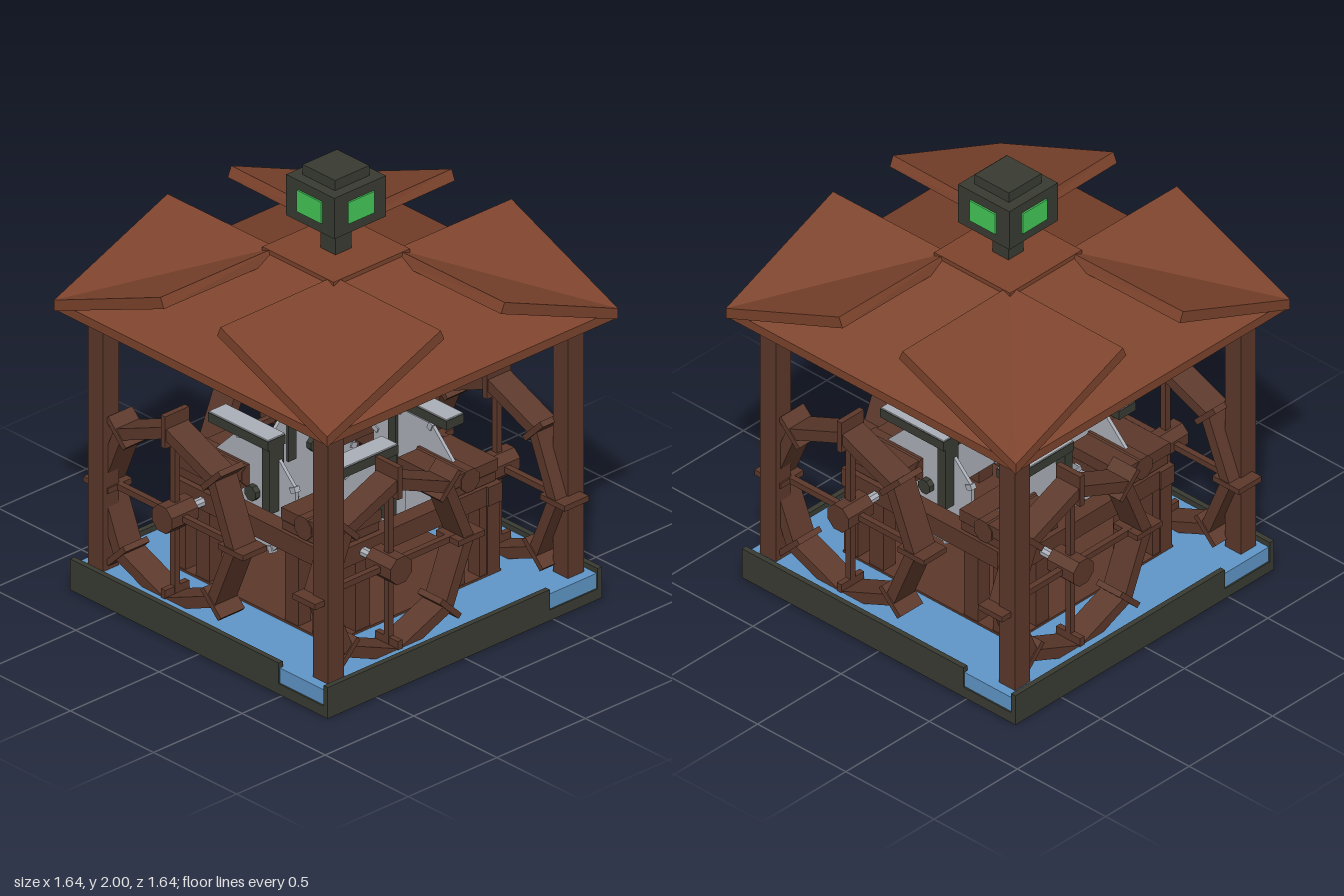
import * as THREE from 'three';

const mat = (name, color, extra = {}) => {
  const m = new THREE.MeshStandardMaterial({ color, flatShading: true, ...extra });
  m.name = name;
  return m;
};

export function createModel() {
  const wood = mat('wood', 0x5d392b);
  const roofMat = mat('roof', 0x7e442d, { side: THREE.DoubleSide });
  const dark = mat('dark stone', 0x393b33);
  const steel = mat('steel', 0xacb0b8);
  const water = mat('water', 0x6097c9);
  const glow = mat('green glass', 0x45c958);
  const model = new THREE.Group();

  const add = (parent, name, geo, m) => {
    const mesh = new THREE.Mesh(geo, m);
    mesh.name = name;
    parent.add(mesh);
    return mesh;
  };
  // Box from its minimum and maximum along each axis
  const box = (parent, name, m, x0, x1, y0, y1, z0, z1) => {
    const mesh = add(parent, name, new THREE.BoxGeometry(x1 - x0, y1 - y0, z1 - z0), m);
    mesh.position.set((x0 + x1) / 2, (y0 + y1) / 2, (z0 + z1) / 2);
    return mesh;
  };
  // Eight-sided rod along x or z
  const rod = (parent, name, m, axis, r, x, y, z, len) => {
    const geo = new THREE.CylinderGeometry(r, r, len, 8);
    geo.rotateY(Math.PI / 8);
    if (axis === 'x') geo.rotateZ(Math.PI / 2); else geo.rotateX(Math.PI / 2);
    const mesh = add(parent, name, geo, m);
    mesh.position.set(x, y, z);
    return mesh;
  };
  const polygon = (Type, r, n, turn = 0) => {
    const s = new Type();
    for (let i = 0; i < n; i++) {
      const a = turn + i / n * Math.PI * 2;
      s[i ? 'lineTo' : 'moveTo'](r * Math.cos(a), r * Math.sin(a));
    }
    s.closePath();
    return s;
  };
  const plate = (shape, depth) => {
    const geo = new THREE.ExtrudeGeometry(shape, { depth, bevelEnabled: false });
    geo.translate(0, 0, -depth / 2);
    return geo;
  };
  // Flat square ring standing between two heights
  const squareRing = (name, m, outer, inner, y0, y1) => {
    const q = Math.PI / 4;
    const s = polygon(THREE.Shape, outer * Math.SQRT2, 4, q);
    s.holes.push(polygon(THREE.Path, inner * Math.SQRT2, 4, q));
    const geo = plate(s, y1 - y0);
    geo.rotateX(-Math.PI / 2);
    add(model, name, geo, m).position.y = (y0 + y1) / 2;
  };

  // Base basin, water and central floor
  squareRing('baseSlab', dark, 0.775, 0.48, 0, 0.05);
  squareRing('waterChannel', water, 0.752, 0.48, 0.05, 0.12);
  box(model, 'centralFloor', wood, -0.48, 0.48, 0.004, 0.13, -0.48, 0.48);

  // Hollow pyramid roof
  const squareTube = (name, top, bottom, y0, y1) => {
    const geo = new THREE.CylinderGeometry(top * Math.SQRT2, bottom * Math.SQRT2, y1 - y0, 4, 1, true);
    geo.rotateY(Math.PI / 4);
    add(model, name, geo, roofMat).position.y = (y0 + y1) / 2;
  };
  squareTube('roofSlopes', 0.2, 0.812, 1.342, 1.6);
  squareTube('roofFascia', 0.812, 0.812, 1.3, 1.342);
  squareRing('eaveSoffit', roofMat, 0.81, 0.63, 1.3, 1.306);
  box(model, 'roofCap', roofMat, -0.215, 0.215, 1.585, 1.614, -0.215, 0.215);

  // Lantern tower
  box(model, 'lanternShaft', dark, -0.045, 0.045, 1.6, 1.77, -0.045, 0.045);
  box(model, 'lanternBox', dark, -0.145, 0.145, 1.763, 1.953, -0.145, 0.145);
  box(model, 'lanternCap', dark, -0.097, 0.097, 1.953, 2, -0.097, 0.097);

  // Folded corner roof panel with raised free corners
  const panelGeometry = () => {
    const p = [
      [0.822, 1.35, 0.822], [0.18, 1.612, 0.822], [0.175, 1.612, 0.175], [0.822, 1.612, 0.18],
      [0.822, 1.3, 0.822], [0.16, 1.565, 0.822], [0.16, 1.56, 0.16], [0.822, 1.565, 0.16],
    ];
    const tris = [[0, 2, 1], [0, 3, 2], [4, 5, 6], [4, 6, 7]];
    for (let i = 0; i < 4; i++) {
      const j = (i + 1) % 4;
      tris.push([i, j, j + 4], [i, j + 4, i + 4]);
    }
    const geo = new THREE.BufferGeometry();
    geo.setAttribute('position', new THREE.Float32BufferAttribute(tris.flat().flatMap(i => p[i]), 3));
    geo.computeVertexNormals();
    return geo;
  };

  const rim = polygon(THREE.Shape, 0.425, 8);
  rim.holes.push(polygon(THREE.Path, 0.37, 8));

  // Broad water wheel with paddles and cross spokes
  const makeWheel = (parent) => {
    const wheel = new THREE.Group();
    wheel.name = 'waterWheel';
    wheel.position.set(-0.295, 0.49, 0.632);
    parent.add(wheel);
    add(wheel, 'wheelRim', plate(rim, 0.125), wood);
    for (let i = 0; i < 8; i++) {
      const arm = new THREE.Group();
      arm.name = 'paddleArm';
      arm.rotation.z = i * Math.PI / 4;
      wheel.add(arm);
      box(arm, 'paddle', wood, 0.33, 0.48, -0.013, 0.013, -0.068, 0.068);
      if (i % 2 === 0) box(arm, 'spoke', wood, 0, 0.38, -0.014, 0.014, -0.014, 0.014);
    }
    rod(wheel, 'wheelHub', wood, 'z', 0.065, 0, 0, 0, 0.15);
    rod(wheel, 'wheelAxle', steel, 'z', 0.022, 0, 0, -0.13, 0.22);
  };

  // One side of the mill, repeated four times around the centre
  for (let k = 0; k < 4; k++) {
    const side = new THREE.Group();
    side.name = 'millSide';
    side.rotation.y = k * Math.PI / 2;
    model.add(side);

    box(side, 'basinWall', dark, -0.775, 0.48, 0.05, 0.145, 0.75, 0.775);
    box(side, 'waterOutlet', water, 0.48, 0.75, 0.05, 0.12, 0.74, 0.768);
    box(side, 'cornerPost', wood, 0.632, 0.722, 0.06, 1.32, 0.632, 0.722);
    box(side, 'eaveBeam', wood, -0.64, 0.64, 1.265, 1.302, 0.645, 0.71);
    add(side, 'roofPanel', panelGeometry(), roofMat);
    box(side, 'lanternWindow', glow, -0.073, 0.073, 1.81, 1.91, 0.146, 0.154);
    makeWheel(side);

    // Work table
    box(side, 'tableBeam', wood, -0.49, 0.48, 0.45, 0.538, 0.4, 0.48);
    for (const [x, w] of [[-0.44, 0.08], [-0.295, 0.08], [0.24, 0.08], [0.42, 0.11]]) {
      box(side, 'tableLeg', wood, x - w / 2, x + w / 2, 0.12, 0.46, 0.405, 0.475);
    }

    // Log on its carriage
    box(side, 'carriageLower', wood, -0.47, -0.19, 0.545, 0.585, 0.18, 0.46);
    box(side, 'carriageUpper', wood, -0.475, -0.185, 0.59, 0.645, 0.175, 0.47);
    rod(side, 'log', wood, 'x', 0.055, -0.33, 0.6, 0.31, 0.298);

    // Saw blade with small teeth
    const saw = new THREE.Group();
    saw.name = 'saw';
    saw.position.set(-0.15, 0.535, 0.31);
    side.add(saw);
    add(saw, 'sawBlade', plate(polygon(THREE.Shape, 0.265, 8, Math.PI / 8), 0.016), steel);
    for (let i = 0; i < 8; i++) {
      const tooth = new THREE.Group();
      tooth.name = 'sawTooth';
      tooth.rotation.z = (i + 0.5) * Math.PI / 4;
      saw.add(tooth);
      box(tooth, 'toothBlock', steel, 0.235, 0.268, -0.012, 0.012, -0.014, 0.014);
    }
    rod(saw, 'sawArbor', dark, 'z', 0.035, 0, 0, 0, 0.07);

    // Saw bracket
    box(side, 'bracketPost', dark, -0.05, -0.005, 0.5, 0.805, 0.29, 0.37);
    box(side, 'bracketArm', dark, -0.365, -0.005, 0.8, 0.843, 0.28, 0.38);
    box(side, 'bracketTopPlate', steel, -0.362, -0.008, 0.843, 0.849, 0.283, 0.377);
  }
  return model;
}
